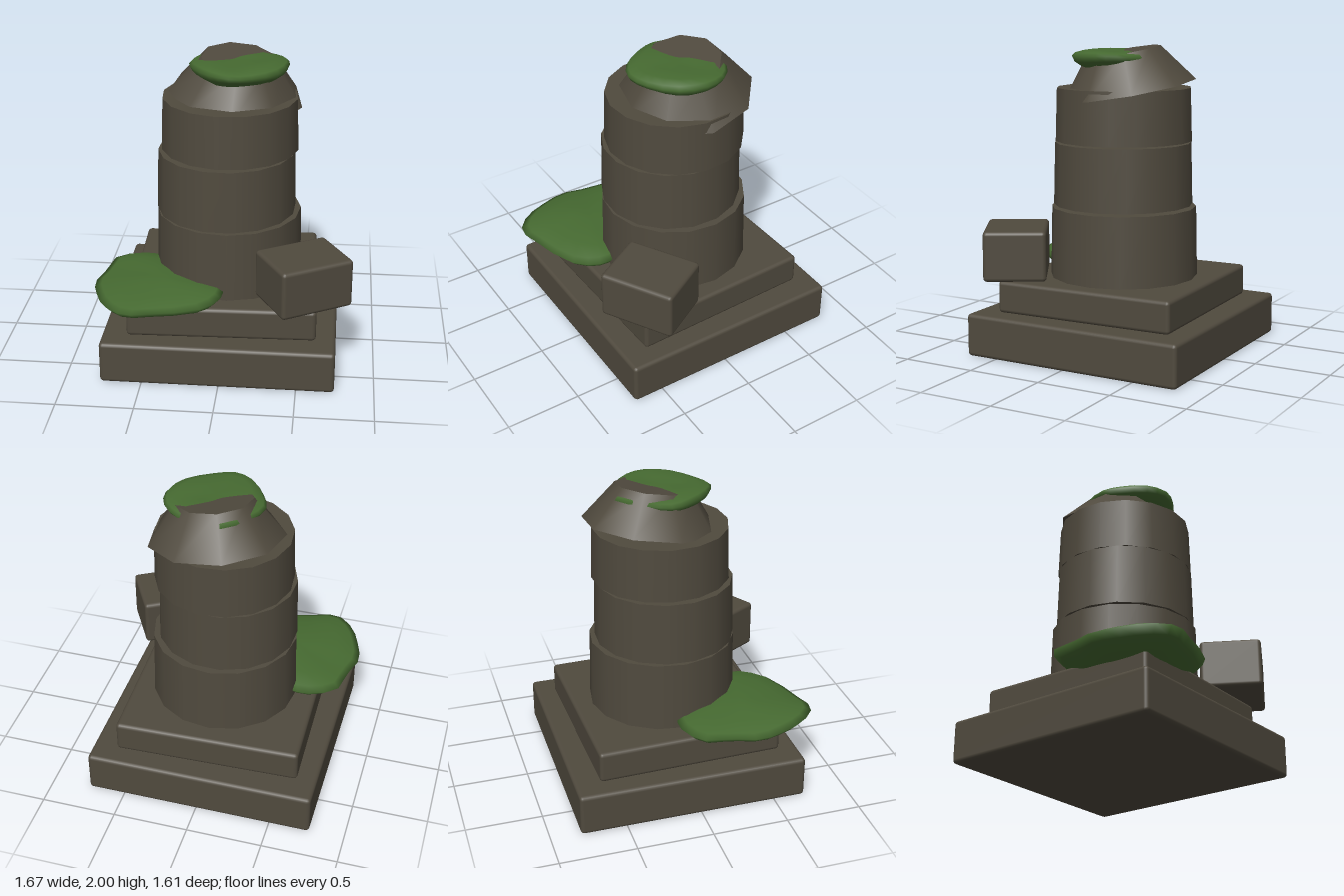
import * as THREE from 'three';
import { RoundedBoxGeometry } from 'three/addons/geometries/RoundedBoxGeometry.js';

const stone = new THREE.MeshStandardMaterial({ color: 0x504a3e });
stone.name = 'weathered stone';
const moss = new THREE.MeshStandardMaterial({ color: 0x466a31 });
moss.name = 'moss green';

function addMesh(group, name, geometry, material, [x, y, z]) {
  const mesh = new THREE.Mesh(geometry, material);
  mesh.name = name;
  mesh.position.set(x, y, z);
  group.add(mesh);
  return mesh;
}

// Lofts a lens-shaped patch: a closed x/z outline (anticlockwise from above) shrunk ring by ring.
// rings: [scale, y] from the underside to the top.
function patchGeometry(outline, [cx, cz], rings, wobble) {
  const curve = new THREE.CatmullRomCurve3(
    outline.map(([x, z]) => new THREE.Vector3(x - cx, 0, z - cz)), true, 'centripetal');
  const n = 24;
  const points = curve.getPoints(n).slice(0, n);
  const pos = [], idx = [];
  rings.forEach(([s, y], r) => points.forEach((p, i) => {
    const bump = wobble * s * Math.sin(i * Math.PI / 4 + r * 0.8);
    pos.push(p.x * s, y + bump, p.z * s);
  }));
  for (let r = 0; r < rings.length - 1; r++) {
    for (let i = 0; i < n; i++) {
      const j = (i + 1) % n;
      const a = r * n + i, b = r * n + j, c = a + n, d = b + n;
      idx.push(a, b, c, b, d, c);
    }
  }
  const bottom = pos.length / 3, top = bottom + 1;
  const last = (rings.length - 1) * n;
  pos.push(0, rings[0][1], 0, 0, rings[rings.length - 1][1], 0);
  for (let i = 0; i < n; i++) {
    const j = (i + 1) % n;
    idx.push(bottom, j, i, top, last + i, last + j);
  }
  const g = new THREE.BufferGeometry();
  g.setAttribute('position', new THREE.Float32BufferAttribute(pos, 3));
  g.setIndex(idx);
  g.computeVertexNormals();
  return g;
}

export function createModel() {
  const group = new THREE.Group();
  group.name = 'ruinedColumn';

  // Stepped plinth and the fallen block
  const blocks = [
    ['plinthBase', [1.515, 0.28, 1.515], [-0.012, 0.14, -0.047], 0],
    ['plinthStep', [1.225, 0.21, 1.225], [-0.012, 0.385, -0.045], 0.029],
    ['fallenBlock', [0.5, 0.322, 0.4], [0.527, 0.691, 0.457], 0.523],
  ];
  for (const [name, size, position, turn] of blocks) {
    addMesh(group, name, new RoundedBoxGeometry(...size, 2, 0.025), stone, position).rotation.y = turn;
  }

  // Column drums, slightly shifted: bottom y, top y, bottom radius, top radius, x, z, turn
  const drums = [
    [0.485, 0.95, 0.487, 0.477, 0.005, -0.047, 0.05],
    [0.962, 1.37, 0.459, 0.449, -0.01, -0.034, 0.15],
    [1.385, 1.73, 0.451, 0.441, 0.01, -0.05, 0.28],
  ];
  drums.forEach(([y0, y1, r0, r1, x, z, turn], i) => {
    const g = new THREE.CylinderGeometry(r1, r0, y1 - y0, 16);
    addMesh(group, 'columnDrum' + (i + 1), g, stone, [x, (y0 + y1) / 2, z]).rotation.y = turn;
  });

  // Tilted broken top
  const capGeometry = new THREE.CylinderGeometry(0.25, 0.44, 0.25, 9);
  const cap = addMesh(group, 'brokenTop', capGeometry, stone, [0.057, 1.84, -0.09]);
  cap.rotation.set(0.14, 0, -0.105);

  // Moss on the broken top
  const topOutline = [
    [0.03, 0.295], [0.17, 0.25], [0.33, 0.12], [0.39, -0.05], [0.355, -0.19], [0.24, -0.29],
    [0.08, -0.33], [-0.05, -0.36], [-0.2, -0.2], [-0.255, -0.05], [-0.21, 0.08], [-0.1, 0.23],
  ];
  addMesh(group, 'topMoss', patchGeometry(topOutline, [0.07, -0.02], [
    [0.45, 1.85], [0.78, 1.868], [0.95, 1.905], [1, 1.937], [0.94, 1.957], [0.75, 1.972], [0.4, 1.967],
  ], 0.006), moss, [0.07, 0, -0.02]);

  // Moss spreading over the plinth
  const baseOutline = [
    [-0.07, 0.2], [-0.24, 0], [-0.46, -0.08], [-0.6, -0.087], [-0.76, 0], [-0.79, 0.17],
    [-0.84, 0.36], [-0.8, 0.53], [-0.72, 0.7], [-0.59, 0.803], [-0.42, 0.77], [-0.13, 0.68],
    [-0.01, 0.55], [0.01, 0.43],
  ];
  addMesh(group, 'plinthMoss', patchGeometry(baseOutline, [-0.4, 0.36], [
    [0.3, 0.425], [0.65, 0.455], [0.9, 0.505], [1, 0.55], [0.9, 0.572], [0.65, 0.592], [0.3, 0.605],
  ], 0.006), moss, [-0.4, 0, 0.36]);

  return group;
}
